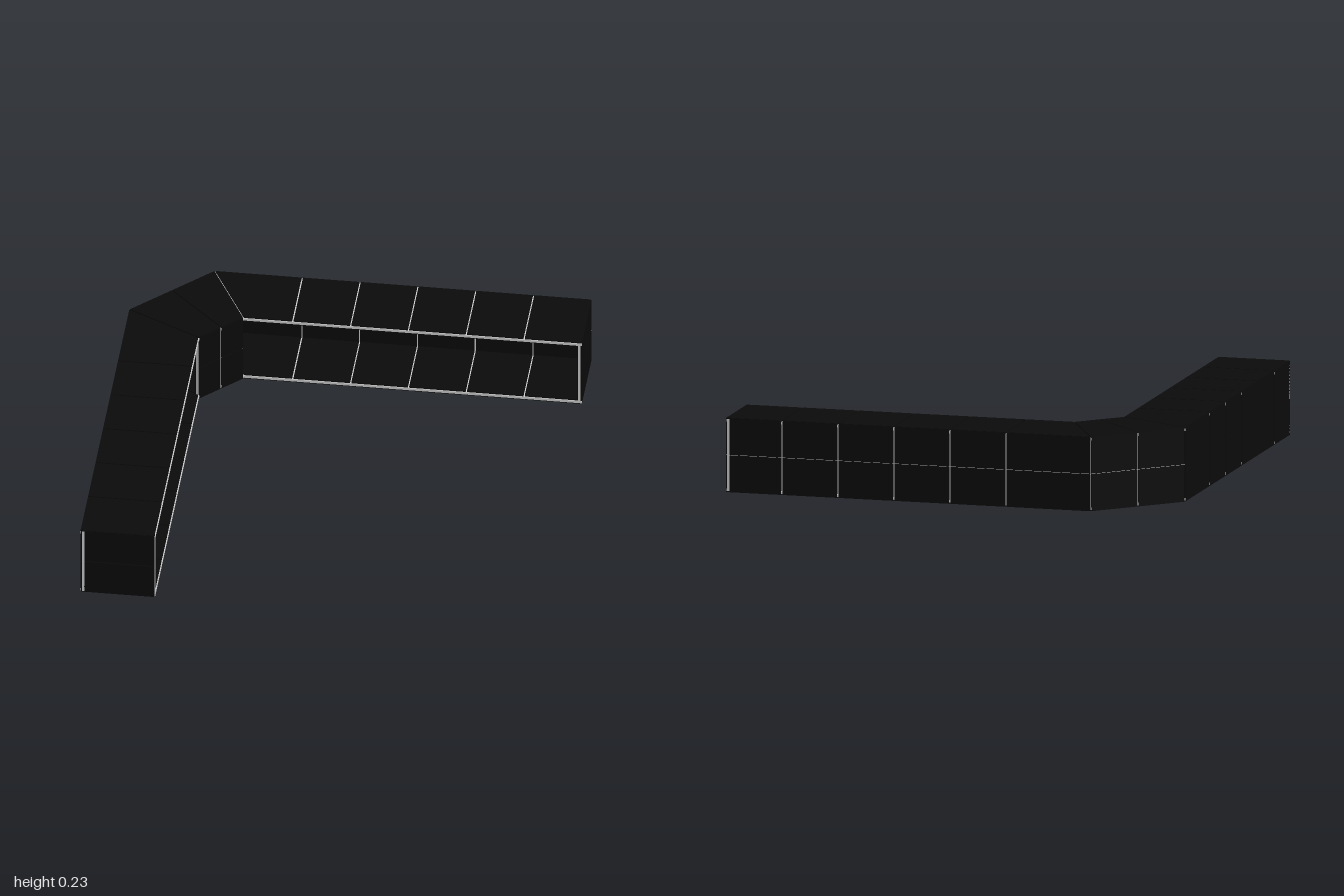
import * as THREE from 'three';

const H = 0.235;  // height
const T = 0.016;  // wall thickness
const CORE = 0.004; // how far the seam filler sits below the surface
const black = new THREE.MeshStandardMaterial({ color: 0x0a0a0a });
const grey = new THREE.MeshStandardMaterial({ color: 0xcccccc });

// Vertical prism over a footprint of [x, z] points
function prism(name, pts, y0, y1, material) {
  const shape = new THREE.Shape(pts.map(([x, z]) => new THREE.Vector2(x, -z)));
  const geo = new THREE.ExtrudeGeometry(shape, { depth: y1 - y0, bevelEnabled: false });
  geo.rotateX(-Math.PI / 2).translate(0, y0, 0);
  const mesh = new THREE.Mesh(geo, material);
  mesh.name = name;
  return mesh;
}

const mix = (a, b, t) => [a[0] + (b[0] - a[0]) * t, a[1] + (b[1] - a[1]) * t];

// Point at a fixed distance from a towards b
const toward = (a, b, d) => mix(a, b, d / Math.hypot(b[0] - a[0], b[1] - a[1]));

// Footprint pulled slightly to its middle, leaving a seam
function shrink(pts, f = 0.977) {
  const mid = [0, 1].map(k => pts.reduce((s, p) => s + p[k], 0) / pts.length);
  return pts.map(p => mix(mid, p, f));
}

// Wall between a and b, its inside lying towards a2 and b2; two rows of panels over a filler
function wall(group, name, a, b, a2, b2) {
  const strip = (d0, d1, e) => {
    const p = [toward(a, a2, d0), toward(b, b2, d0), toward(b, b2, d1), toward(a, a2, d1)];
    return [toward(p[0], p[1], e), toward(p[1], p[0], e), toward(p[2], p[3], e), toward(p[3], p[2], e)];
  };
  const gap = 0.002;
  for (const row of [0, 1]) {
    const y = row * H / 2;
    group.add(prism(name + 'Panel', strip(0, T, gap), y + gap / 2, y + H / 2 - gap / 2, black));
  }
  group.add(prism(name + 'Seam', strip(CORE, T - CORE, 0), CORE, H - CORE, grey));
}

function createHalf(side) {
  const group = new THREE.Group();
  group.name = side > 0 ? 'frontArm' : 'backArm';

  // Stations along the outer and inner edges, from the middle of the bend to the free end
  const outer = [[-0.5, 0], [-0.5, 0.167 * side]];
  const inner = [[-0.25, 0], [-0.25, 0.087 * side]];
  for (let k = 0; k < 6; k++) {
    const s = 0.194 + 0.1278 * k;
    outer.push([-0.5 + s, (0.167 + s) * side]);
    inner.push([-0.335 + s, (0.002 + s) * side]);
  }
  const last = outer.length - 1;

  for (let i = 0; i < last; i++) {
    const cell = [outer[i], outer[i + 1], inner[i + 1], inner[i]];
    // Top and bottom plates
    for (const [name, y] of [['bottom', 0], ['top', H - T]]) {
      group.add(prism(name + 'Panel', shrink(cell), y, y + T, black));
      group.add(prism(name + 'Seam', shrink(cell, 0.9999), y + CORE, y + T - CORE, grey));
    }
    // Outer wall; the inner side of the arm stays open as a channel
    wall(group, 'outerWall', outer[i], outer[i + 1], inner[i], inner[i + 1]);
  }

  // Closed inner face of the bend and closed free end
  wall(group, 'bendWall', inner[0], inner[1], outer[0], outer[1]);
  wall(group, 'endWall', outer[last], inner[last], outer[last - 1], inner[last - 1]);
  return group;
}

export function createModel() {
  const model = new THREE.Group();
  model.name = 'angledChannel';
  for (const side of [1, -1]) model.add(createHalf(side));
  return model;
}
